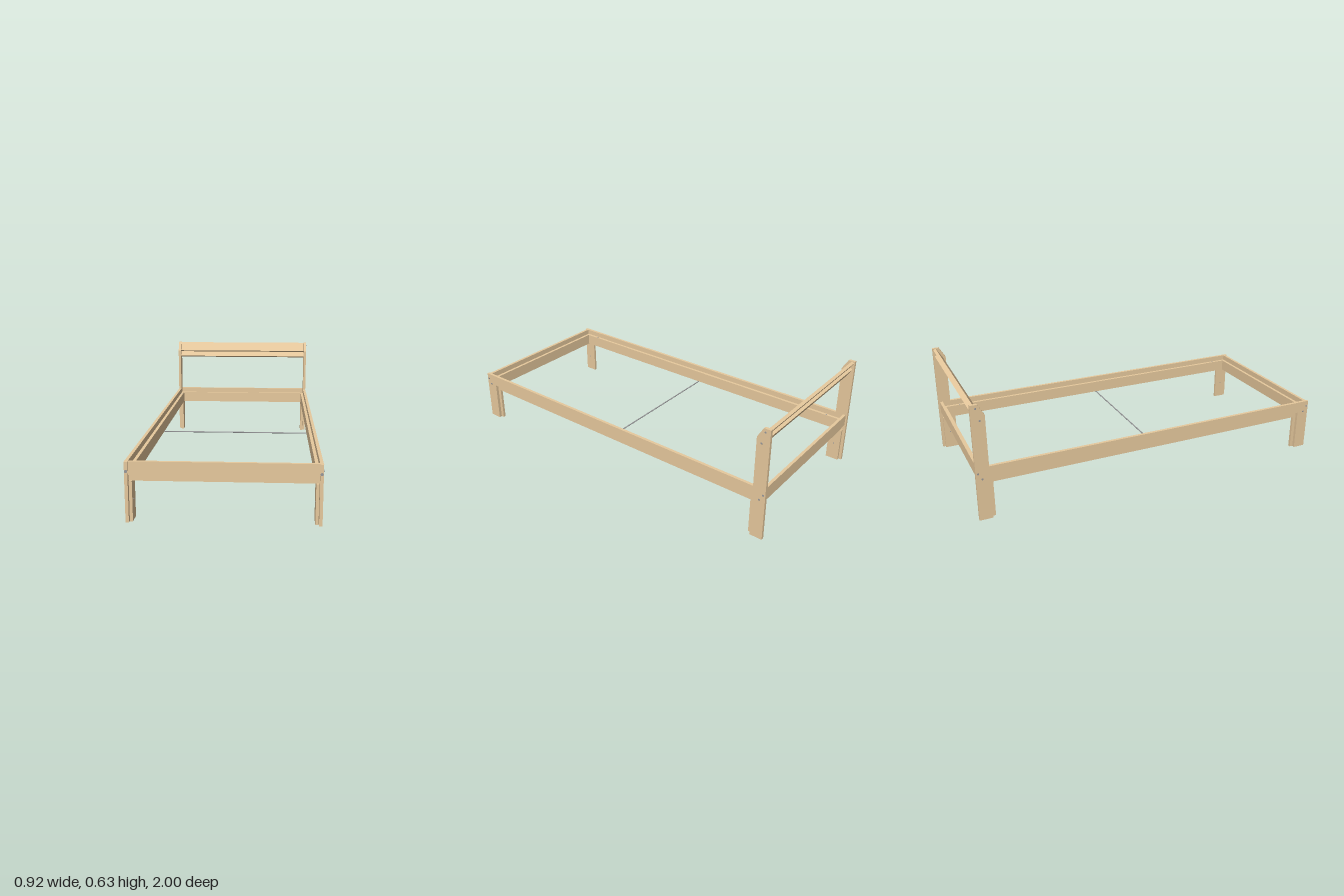
import * as THREE from 'three';

const wood = new THREE.MeshStandardMaterial({ color: 0xe7c99d });
wood.name = 'pine wood';
const steel = new THREE.MeshStandardMaterial({ color: 0x98989a });
steel.name = 'grey steel';

const T = 0.016;      // board thickness
const OUT = 0.456;    // outer face of the posts
const MID = OUT - T;  // seam between outer and inner boards
const INN = MID - T;  // inner face of the inner boards

// Board given by its limits on each axis
function board(name, x0, x1, y0, y1, z0, z1) {
  const mesh = new THREE.Mesh(new THREE.BoxGeometry(Math.abs(x1 - x0), y1 - y0, Math.abs(z1 - z0)), wood);
  mesh.position.set((x0 + x1) / 2, (y0 + y1) / 2, (z0 + z1) / 2);
  mesh.name = name;
  return mesh;
}

// Short bolt head along the x, y or z axis
function bolt(name, x, y, z, axis, r = 0.005) {
  const mesh = new THREE.Mesh(new THREE.CylinderGeometry(r, r, 0.005, 16), steel);
  if (axis === 'x') mesh.rotation.z = Math.PI / 2;
  if (axis === 'z') mesh.rotation.x = Math.PI / 2;
  mesh.position.set(x, y, z);
  mesh.name = name;
  return mesh;
}

// Tall rear post with a sloped front corner at the top
function headPost(s) {
  const shape = new THREE.Shape([
    [-1, 0], [-0.93, 0], [-0.93, 0.57], [-0.963, 0.626], [-1, 0.626],
  ].map(([z, y]) => new THREE.Vector2(-z, y)));
  const geo = new THREE.ExtrudeGeometry(shape, { depth: T, bevelEnabled: false });
  geo.rotateY(Math.PI / 2);
  geo.translate(s > 0 ? MID : -OUT, 0, 0);
  const mesh = new THREE.Mesh(geo, wood);
  mesh.name = 'headPost';
  return mesh;
}

export function createModel() {
  const bed = new THREE.Group();
  bed.name = 'bedFrame';

  for (const s of [-1, 1]) {
    // Side rail: raised outer board with a lower inner ledge
    bed.add(board('sideRail', s * MID, s * OUT, 0.2285, 0.293, -0.93, 0.93));
    bed.add(board('sideLedge', s * INN, s * MID, 0.196, 0.262, -0.959, 0.959));

    // Posts and inner legs
    bed.add(board('footPost', s * MID, s * OUT, 0, 0.293, 0.93, 1));
    bed.add(headPost(s));
    for (const e of [-1, 1]) {
      bed.add(board('innerLeg', s * INN, s * (MID - 0.0015), 0, 0.196, e * 0.912, e * 0.985));
      bed.add(bolt('legBolt', s * INN, 0.1, e * 0.95, 'x', 0.003));
      bed.add(bolt('ledgeBolt', s * (INN + 0.007), 0.261, e * 0.88, 'y', 0.004));
      bed.add(bolt('postBolt', s * OUT, 0.262, e * 0.988, 'x'));
      bed.add(bolt('postBolt', s * OUT, 0.23, e * 0.968, 'x'));
    }
    bed.add(bolt('footBolt', s * (MID + T / 2), 0.247, 0.999, 'z', 0.007));
    bed.add(bolt('headBolt', s * OUT, 0.607, -0.973, 'x'));
    bed.add(bolt('headBolt', s * OUT, 0.542, -0.957, 'x'));
  }

  // End rails, stepped like the side rails
  for (const e of [-1, 1]) {
    bed.add(board('endRail', -MID, MID, 0.2285, 0.293, e * 0.975, e * 0.991));
    bed.add(board('endLedge', -MID, MID, 0.196, 0.262, e * 0.959, e * 0.975));
  }

  // Leaning headboard of two overlapping boards
  const headboard = new THREE.Group();
  headboard.name = 'headboard';
  headboard.add(board('upperHeadboardSlat', -MID, MID, 0, 0.065, -T, 0));
  headboard.add(board('lowerHeadboardSlat', -MID, MID, -0.035, 0.03, -2 * T, -T));
  headboard.position.set(0, 0.57, -0.948);
  headboard.rotation.x = -0.555;
  bed.add(headboard);

  // Thin tie rod across the middle
  const rod = new THREE.Mesh(new THREE.CylinderGeometry(0.0035, 0.0035, 2 * INN, 12), steel);
  rod.rotation.z = Math.PI / 2;
  rod.position.set(0, 0.1965, 0);
  rod.name = 'tieRod';
  bed.add(rod);

  return bed;
}
